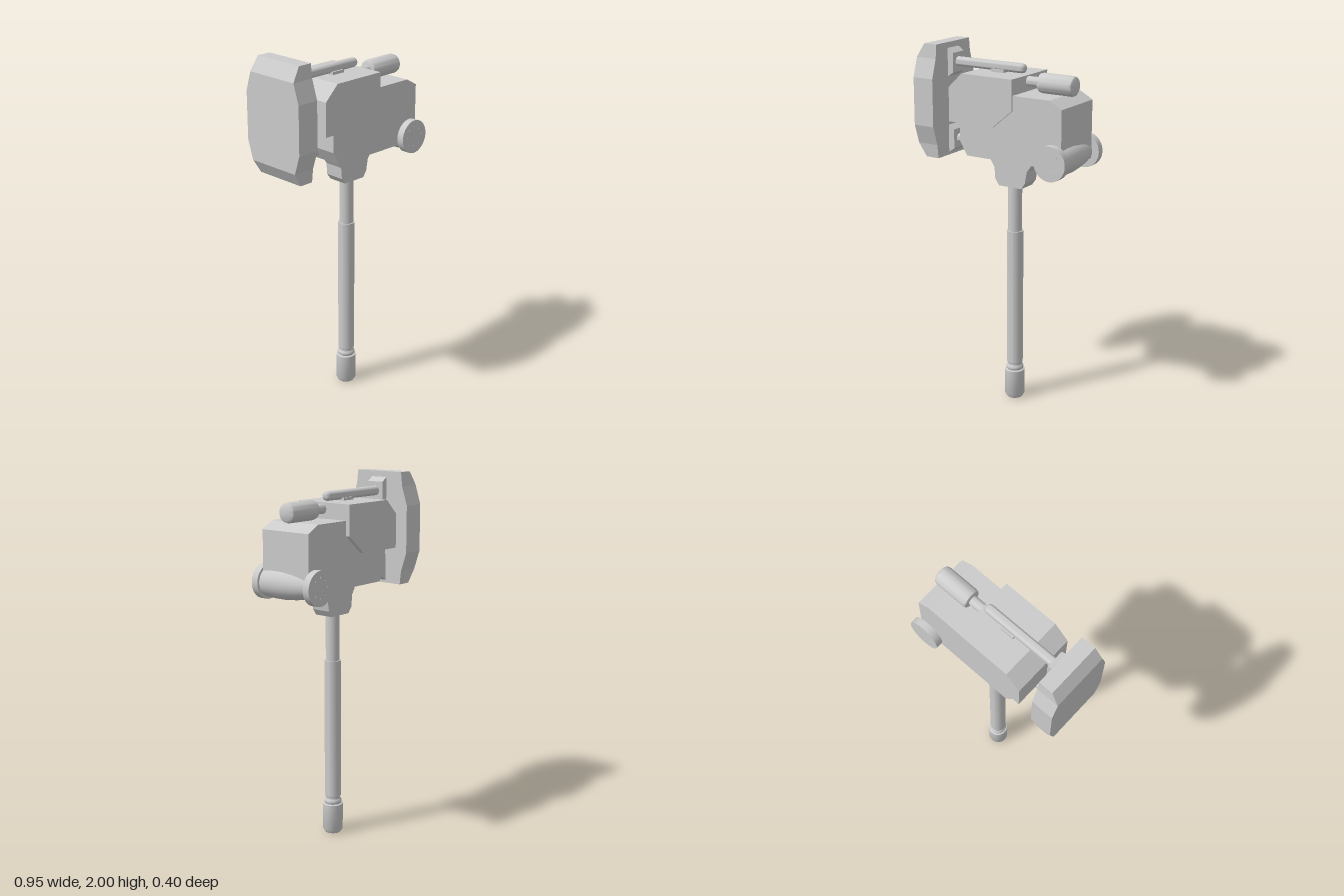
import * as THREE from 'three';
import { toCreasedNormals } from 'three/addons/utils/BufferGeometryUtils.js';

const material = new THREE.MeshStandardMaterial({ color: 0xcccccc });

function add(group, name, geometry) {
  const mesh = new THREE.Mesh(geometry, material);
  mesh.name = name;
  group.add(mesh);
  return mesh;
}

// Side outline (x, y) given thickness from z0 to z1
function slab(points, z0, z1) {
  const shape = new THREE.Shape(points.map(([x, y]) => new THREE.Vector2(x, y)));
  return new THREE.ExtrudeGeometry(shape, { depth: z1 - z0, bevelEnabled: false }).translate(0, 0, z0);
}

// Turned part from (radius, height) pairs
function turned(points, segments = 32) {
  const profile = points.map(([r, y]) => new THREE.Vector2(r, y));
  return toCreasedNormals(new THREE.LatheGeometry(profile, segments), 0.7);
}

// Turned part lying along x, with (radius, x) pairs
const turnedX = (points, y) => turned(points).rotateZ(-Math.PI / 2).translate(0, y, 0);

// Rectangular rings [[x0, x1, y0, y1, z0, z1] corner functions] joined into a flat-sided solid
function loft(rings) {
  const pos = [];
  const quad = (a, b, c, d) => [a, b, c, a, c, d].forEach((p) => pos.push(...p));
  for (let i = 0; i < rings.length - 1; i++) {
    for (let k = 0; k < 4; k++) {
      const n = (k + 1) % 4;
      quad(rings[i][k], rings[i][n], rings[i + 1][n], rings[i + 1][k]);
    }
  }
  const [a, b, c, d] = rings[0];
  quad(d, c, b, a);
  quad(...rings[rings.length - 1]);
  const geometry = new THREE.BufferGeometry();
  geometry.setAttribute('position', new THREE.Float32BufferAttribute(pos, 3));
  geometry.computeVertexNormals();
  return geometry;
}

export function createModel() {
  const model = new THREE.Group();
  model.name = 'hammer';

  // Handle: pommel, neck ring, grip and thinner upper shaft
  const handle = new THREE.Group();
  handle.name = 'handle';
  handle.position.x = 0.052;
  model.add(handle);
  add(handle, 'pommel', turned([[0, 0], [0.044, 0], [0.056, 0.02], [0.056, 0.168], [0.05, 0.172], [0, 0.172]]));
  add(handle, 'neckRing', turned([[0.04, 0.165], [0.047, 0.174], [0.049, 0.184], [0.047, 0.194], [0.04, 0.2], [0.039, 0.206], [0.045, 0.218]]));
  add(handle, 'grip', turned([[0, 0.21], [0.045, 0.216], [0.046, 1], [0, 1]]));
  add(handle, 'upperShaft', new THREE.CylinderGeometry(0.038, 0.038, 0.3, 32).translate(0, 1.13, 0));

  // Socket joining handle and head
  add(model, 'socket', slab([
    [-0.08, 1.43], [-0.065, 1.385], [-0.046, 1.355], [-0.04, 1.29], [-0.015, 1.257],
    [0.125, 1.257], [0.148, 1.29], [0.16, 1.355], [0.182, 1.385], [0.194, 1.43],
  ], -0.056, 0.056));

  // Main body and the wider cover over it
  add(model, 'body', slab([
    [-0.155, 1.425], [0.427, 1.425], [0.427, 1.74], [0.355, 1.78], [-0.2, 1.78], [-0.2, 1.5],
  ], -0.16, 0.155));
  add(model, 'cover', slab([
    [-0.263, 1.6], [0.015, 1.6], [0.134, 1.7], [0.134, 1.865], [-0.18, 1.865], [-0.263, 1.785],
  ], -0.185, 0.165));

  // Striking plate, narrowing towards top and bottom
  const plateRows = [
    [1.38, -0.43, 0.15], [1.455, -0.475, 0.158], [1.56, -0.475, 0.192],
    [1.82, -0.475, 0.192], [1.925, -0.475, 0.158], [2, -0.43, 0.15],
  ];
  add(model, 'strikingPlate', loft(plateRows.map(([y, x, z]) =>
    [[x, y, z], [-0.35, y, z], [-0.35, y, -z], [x, y, -z]])));

  // Brackets behind the plate, tapering away from it
  for (const [name, y] of [['upperBracket', 1.892], ['lowerBracket', 1.472]]) {
    const ring = (x, h) => [[x, y - h, 0.05], [x, y - h, -0.05], [x, y + h, -0.05], [x, y + h, 0.05]];
    add(model, name, loft([ring(-0.352, 0.078), ring(-0.315, 0.053)]));
  }

  // Piston rods, the upper one with a rounded end
  add(model, 'upperRod', turnedX([
    [0, -0.32], [0.026, -0.32], [0.026, 0.095], [0.022, 0.108], [0.013, 0.115], [0, 0.117],
  ], 1.895));
  add(model, 'lowerRod', turnedX([[0, -0.32], [0.025, -0.32], [0.025, -0.1], [0, -0.1]], 1.472));
  add(model, 'rodClip', new THREE.BoxGeometry(0.08, 0.025, 0.064).translate(-0.043, 1.868, 0));

  // Canister on a short stem
  add(model, 'canisterStem', turnedX([[0, 0.12], [0.027, 0.12], [0.027, 0.22], [0, 0.22]], 1.832));
  add(model, 'canister', turnedX([
    [0, 0.208], [0.038, 0.208], [0.049, 0.213], [0.053, 0.228], [0.053, 0.4], [0.049, 0.413], [0.038, 0.42], [0, 0.42],
  ], 1.832));

  // Roller between two discs, thinner towards one end
  const drum = new THREE.Group();
  drum.name = 'drum';
  drum.position.set(0.38, 1.462, 0);
  model.add(drum);
  add(drum, 'roller', turned([
    [0, -0.17], [0.052, -0.165], [0.066, -0.11], [0.076, -0.05], [0.083, 0.03], [0.083, 0.09], [0.079, 0.16], [0, 0.16],
  ]).rotateX(Math.PI / 2));
  for (const [side, z] of [[1, 0.175], [-1, -0.179]]) {
    const disc = new THREE.Group();
    disc.name = side > 0 ? 'frontDisc' : 'backDisc';
    disc.position.z = z;
    drum.add(disc);
    add(disc, 'discRim', new THREE.CylinderGeometry(0.093, 0.093, 0.04, 40).rotateX(Math.PI / 2));
    for (let i = 0; i < 8; i++) {
      const a = (i / 8) * Math.PI * 2;
      add(disc, 'rivet', new THREE.CylinderGeometry(0.005, 0.005, 0.003, 8).rotateX(Math.PI / 2))
        .position.set(Math.cos(a) * 0.055, Math.sin(a) * 0.055, side * 0.02);
    }
  }

  return model;
}
